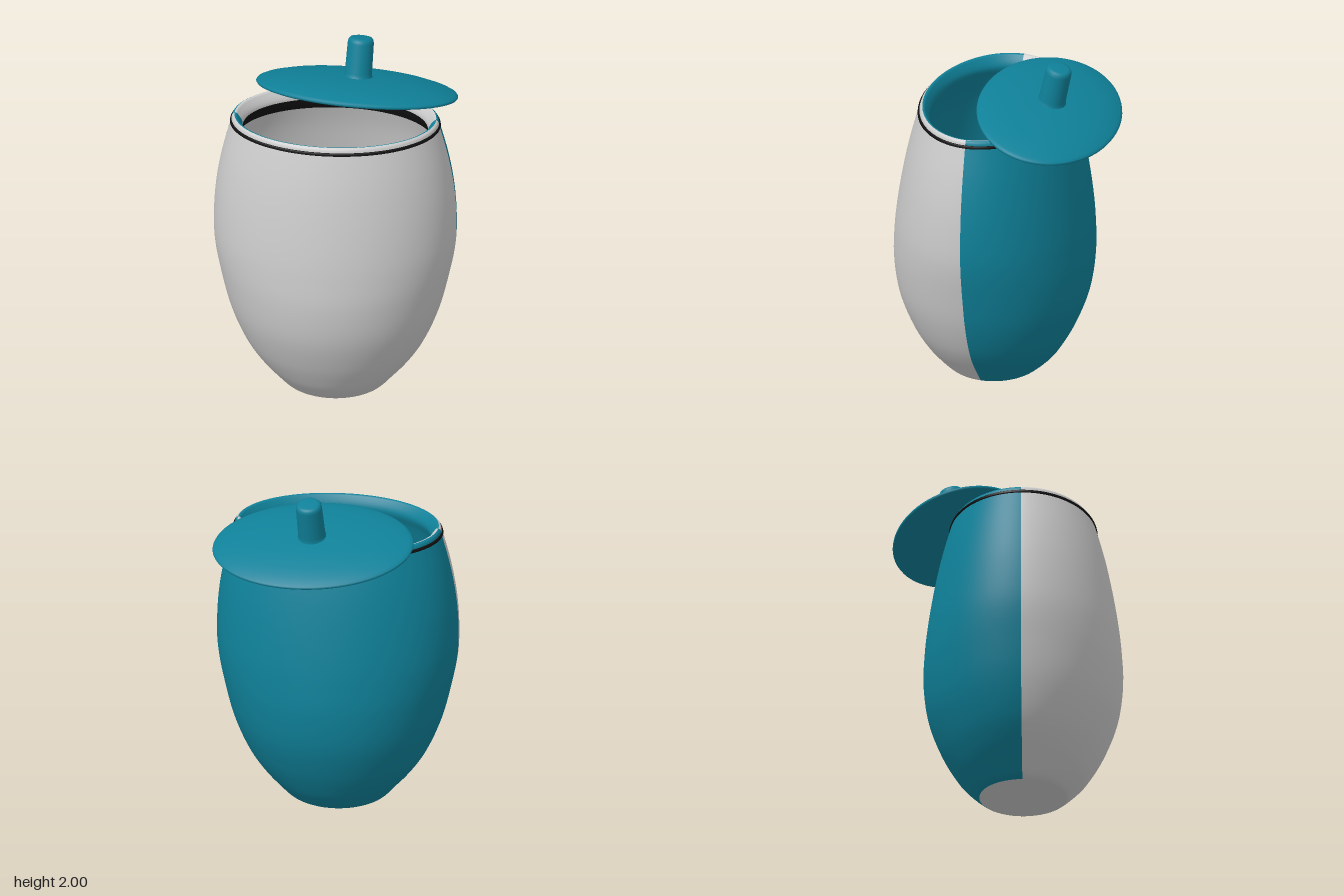
import * as THREE from 'three';

const TURN = Math.PI / 12; // long axis of every oval is turned 15 degrees
const SEG = 96;
const GREY = 0xcccccc, TEAL = 0x0f8199, BLACK = 0x111111;

// half extents along x and z -> semi-axes of the turned oval
function axes(X, Z) {
  const sum = X * X + Z * Z, dif = (X * X - Z * Z) / Math.cos(2 * TURN);
  return [Math.sqrt((sum + dif) / 2), Math.sqrt((sum - dif) / 2)];
}

function mesh(name, geometry, color) {
  const m = new THREE.Mesh(geometry, new THREE.MeshStandardMaterial({ color }));
  m.name = name;
  return m;
}

// points: [halfX, y, halfZ]; smooth oval loft covering segments from..to
function loft(points, steps, from = 0, to = SEG) {
  const curve = new THREE.CatmullRomCurve3(points.map((p) => new THREE.Vector3(...p)));
  const position = [], full = [], part = [];
  for (let i = 0; i <= steps; i++) {
    const p = curve.getPoint(i / steps);
    const [a, b] = axes(p.x, p.z);
    for (let j = 0; j < SEG; j++) {
      const t = (j / SEG) * Math.PI * 2;
      position.push(a * Math.cos(t), p.y, b * Math.sin(t));
      if (i === steps) continue;
      const A = i * SEG + j, B = i * SEG + ((j + 1) % SEG);
      const quad = [A, A + SEG, B, B, A + SEG, B + SEG];
      full.push(...quad);
      if (j >= from && j < to) part.push(...quad);
    }
  }
  const g = new THREE.BufferGeometry();
  g.setAttribute('position', new THREE.Float32BufferAttribute(position, 3));
  g.setIndex(full);
  g.computeVertexNormals(); // normals from the whole ring keep the colour seam smooth
  g.setIndex(part);
  return g;
}

export function createModel() {
  const model = new THREE.Group();
  model.name = 'lidded jar';

  const jar = new THREE.Group();
  jar.name = 'jar';
  jar.position.z = 0.1;
  jar.rotation.y = TURN;
  model.add(jar);

  // outer wall up to the middle of the rim
  const outer = [
    [0.25, 0, 0.24], [0.285, 0.018, 0.27], [0.36, 0.1, 0.355], [0.43, 0.18, 0.41],
    [0.51, 0.3, 0.475], [0.595, 0.5, 0.548], [0.65, 0.72, 0.577], [0.68, 0.89, 0.573],
    [0.687, 1.02, 0.562], [0.675, 1.24, 0.53], [0.64, 1.45, 0.488], [0.588, 1.65, 0.434],
    [0.58, 1.68, 0.424], [0.568, 1.69, 0.413],
  ];
  // lip and inner wall, going down to the floor
  const inner = [
    [0.568, 1.69, 0.413], [0.558, 1.688, 0.404], [0.55, 1.68, 0.396], [0.522, 1.625, 0.372],
    [0.55, 1.55, 0.4], [0.595, 1.42, 0.44], [0.63, 1.22, 0.48], [0.64, 1.02, 0.515],
    [0.6, 0.7, 0.525], [0.545, 0.5, 0.495], [0.46, 0.3, 0.425], [0.35, 0.15, 0.335],
    [0.25, 0.07, 0.25], [0.18, 0.05, 0.18],
  ];
  // front and back halves, with the colours swapped inside
  const halves = [['front', 0, SEG / 2, GREY, TEAL], ['back', SEG / 2, SEG, TEAL, GREY]];
  for (const [side, from, to, outside, inside] of halves) {
    jar.add(mesh(side + 'OuterWall', loft(outer, 65, from, to), outside));
    jar.add(mesh(side + 'InnerWall', loft(inner, 65, from, to), inside));
  }

  // dark line around the rim and dark strip under the lip at the back
  jar.add(mesh('rimLine', loft([
    [0.586, 1.645, 0.432], [0.594, 1.648, 0.44], [0.593, 1.655, 0.439],
    [0.591, 1.662, 0.437], [0.58, 1.665, 0.426],
  ], 8), BLACK));
  jar.add(mesh('underLipStrip', loft([
    [0.52, 1.62, 0.37], [0.53, 1.585, 0.38], [0.546, 1.55, 0.396],
  ], 8, SEG / 2, SEG), BLACK));

  // floor inside and foot below
  const floor = mesh('floor', new THREE.CircleGeometry(0.182, 48), BLACK);
  floor.rotation.x = -Math.PI / 2;
  floor.position.y = 0.052;
  const foot = mesh('foot', new THREE.CircleGeometry(0.252, 48), GREY);
  foot.rotation.x = Math.PI / 2;
  jar.add(floor, foot);

  // lid, slid back and tilted
  const lid = new THREE.Group();
  lid.name = 'lid';
  lid.position.set(0, 1.695, -0.265);
  lid.rotation.x = -0.227;
  model.add(lid);

  const [a, b] = axes(0.57, 0.42);
  const plateProfile = [
    [0, -0.002], [0.5, -0.006], [0.85, -0.012], [0.97, -0.014], [0.992, -0.01], [1, -0.002],
    [0.992, 0.006], [0.96, 0.015], [0.85, 0.033], [0.7, 0.049], [0.5, 0.063], [0.3, 0.071], [0, 0.075],
  ].map((p) => new THREE.Vector2(...p));
  const plate = mesh('lidPlate', new THREE.LatheGeometry(plateProfile, SEG).scale(a, 1, b), TEAL);
  plate.rotation.y = TURN;

  const knobProfile = [
    [0.088, 0.06], [0.081, 0.075], [0.078, 0.095], [0.075, 0.27], [0.072, 0.287],
    [0.064, 0.298], [0.05, 0.302], [0, 0.303],
  ].map((p) => new THREE.Vector2(...p));
  lid.add(plate, mesh('knob', new THREE.LatheGeometry(knobProfile, 48), TEAL));

  return model;
}
